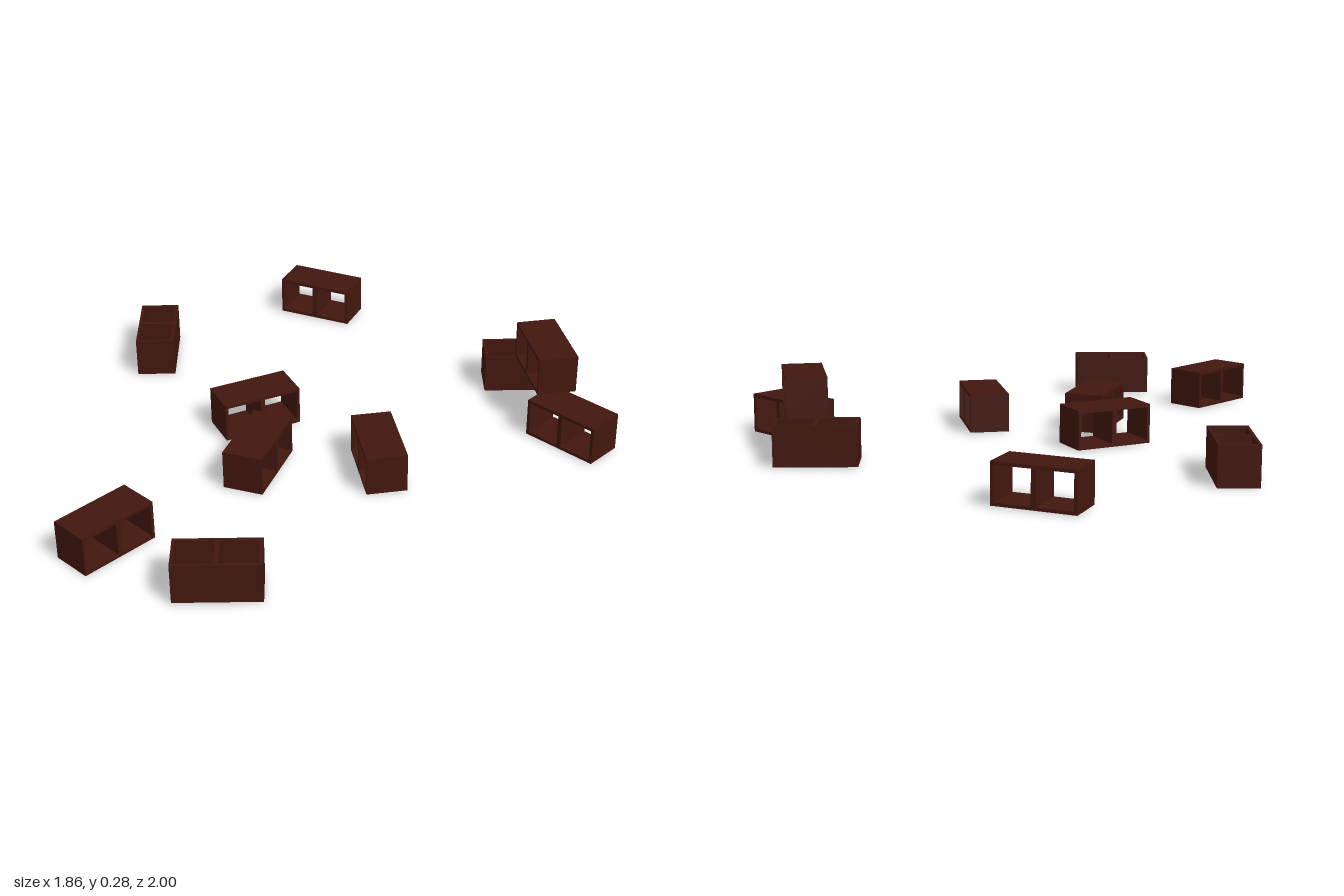
import * as THREE from 'three';

const L = 0.283, W = 0.139, D = 0.14;   // block length, width, depth along the cores
const WALL = 0.011, WEB = 0.017;        // shell and middle web thickness

function rectPath(path, x0, y0, x1, y1) {
  path.moveTo(x0, y0);
  path.lineTo(x1, y0);
  path.lineTo(x1, y1);
  path.lineTo(x0, y1);
  path.closePath();
  return path;
}

// Hollow block: a rectangle with two through cores, extruded along z
function blockGeometry() {
  const shape = rectPath(new THREE.Shape(), -L / 2, -W / 2, L / 2, W / 2);
  const y = W / 2 - WALL, outer = L / 2 - WALL, inner = WEB / 2;
  shape.holes.push(
    rectPath(new THREE.Path(), -outer, -y, -inner, y),
    rectPath(new THREE.Path(), inner, -y, outer, y)
  );
  return new THREE.ExtrudeGeometry(shape, { depth: D, bevelEnabled: false }).translate(0, 0, -D / 2);
}

// x, z, heading in degrees from +x towards +z, base height, cores upright?
const BLOCKS = [
  [0.652, -0.312, 0, 0, true],
  [-0.709, -0.532, 90, 0, true],
  [-0.418, 0.926, 0, 0.007, true],
  [-0.085, -0.88, 24.7, 0.003, false],
  [-0.328, -0.04, -25, 0.003, false],
  [-0.311, 0.262, 110.3, 0.003, false],
  [0.099, 0.275, 80.7, 0.003, false],
  [-0.784, 0.702, -45, 0.003, false],
  [0.779, 0.109, 45, 0.003, false],
  [0.711, -0.127, 80.3, 0.14, false],   // rests on two others
];

export function createModel() {
  const model = new THREE.Group();
  model.name = 'scatteredBlocks';
  const material = new THREE.MeshStandardMaterial({ color: 0x43170f });
  const lying = blockGeometry();
  const upright = lying.clone().rotateX(Math.PI / 2);

  BLOCKS.forEach(([x, z, heading, base, isUpright], i) => {
    const block = new THREE.Mesh(isUpright ? upright : lying, material);
    block.name = (isUpright ? 'uprightBlock' : 'lyingBlock') + (i + 1);
    block.position.set(x, base + (isUpright ? D : W) / 2, z);
    block.rotation.y = -THREE.MathUtils.degToRad(heading);
    model.add(block);
  });
  return model;
}
